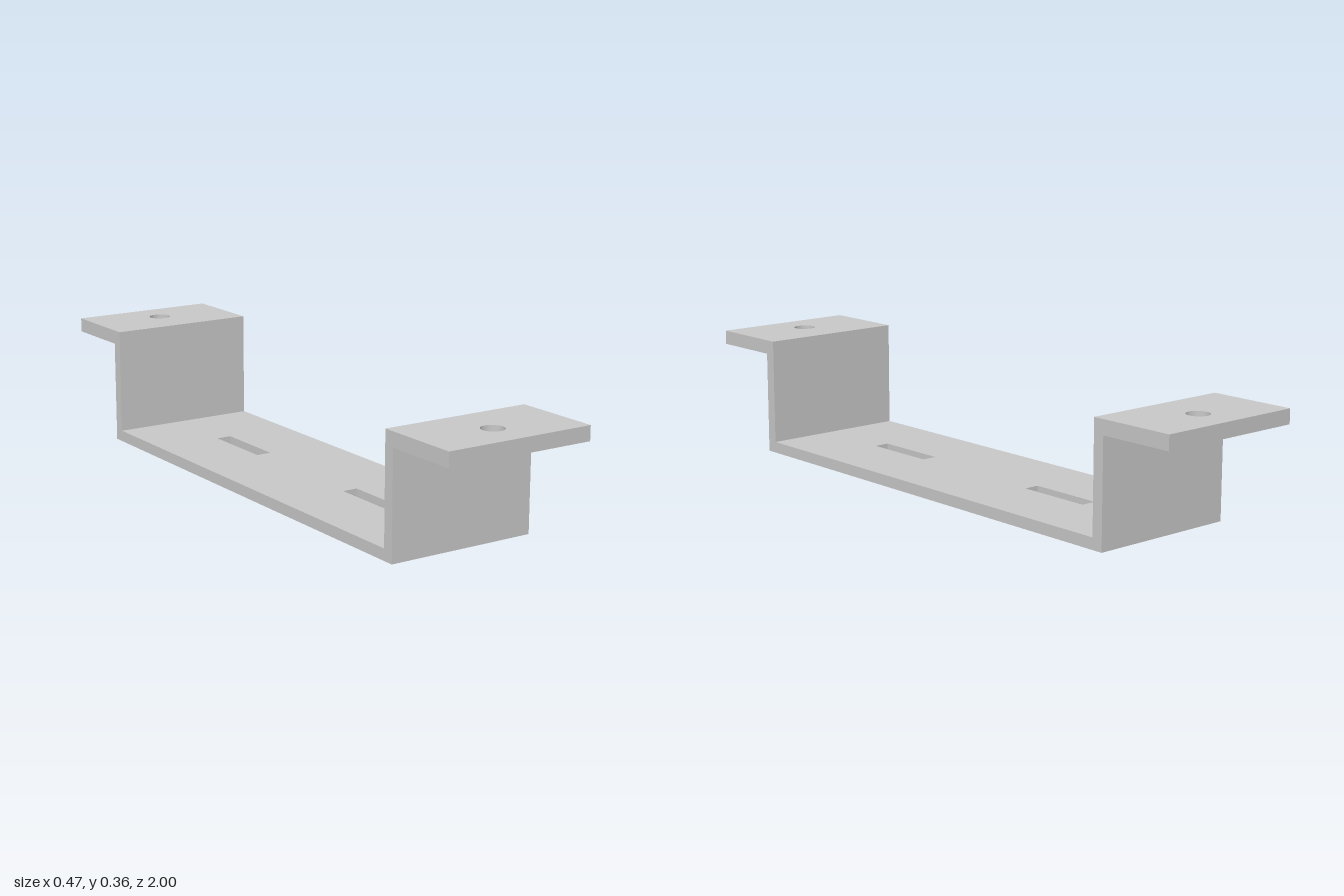
import * as THREE from 'three';

const WIDTH = 0.47;
const BASE_T = 0.035, WALL_T = 0.035;
const HEIGHT = 0.364, FLANGE_T = 0.044;
const WALL_OUT = 0.765, WALL_IN = WALL_OUT - WALL_T;

// Rectangle outline on the ground plane, from z0 to z1
function rectangle(PathType, width, z0, z1) {
  const w = width / 2;
  return new PathType([[-w, -z1], [w, -z1], [w, -z0], [-w, -z0]].map(([x, y]) => new THREE.Vector2(x, y)));
}

// Horizontal plate with cut-outs, lying on height y
function plate(z0, z1, y, thickness, holes) {
  const shape = rectangle(THREE.Shape, WIDTH, z0, z1);
  shape.holes.push(...holes);
  return new THREE.ExtrudeGeometry(shape, { depth: thickness, bevelEnabled: false, curveSegments: 32 })
    .rotateX(-Math.PI / 2)
    .translate(0, y, 0);
}

export function createModel() {
  const model = new THREE.Group();
  model.name = 'mountingBracket';
  const steel = new THREE.MeshStandardMaterial({ color: 0xc8c8c8 });
  steel.name = 'lightGreySteel';

  const add = (name, geometry) => {
    const mesh = new THREE.Mesh(geometry, steel);
    mesh.name = name;
    model.add(mesh);
  };

  // Long base with two adjustment slots
  const slots = [rectangle(THREE.Path, 0.048, -0.475, -0.235), rectangle(THREE.Path, 0.048, 0.235, 0.475)];
  add('basePlate', plate(-WALL_OUT, WALL_OUT, 0, BASE_T, slots));

  for (const [side, s] of [['front', 1], ['back', -1]]) {
    // Upright wall
    const wallHeight = HEIGHT - FLANGE_T - BASE_T;
    add(side + 'Wall', new THREE.BoxGeometry(WIDTH, wallHeight, WALL_T)
      .translate(0, BASE_T + wallHeight / 2, s * (WALL_IN + WALL_T / 2)));

    // Outward flange with a round screw hole
    const hole = new THREE.Path().absarc(0, -s * 0.883, 0.034, 0, Math.PI * 2, true);
    const z0 = s > 0 ? WALL_IN : -1;
    const z1 = s > 0 ? 1 : -WALL_IN;
    add(side + 'Flange', plate(z0, z1, HEIGHT - FLANGE_T, FLANGE_T, [hole]));
  }
  return model;
}
